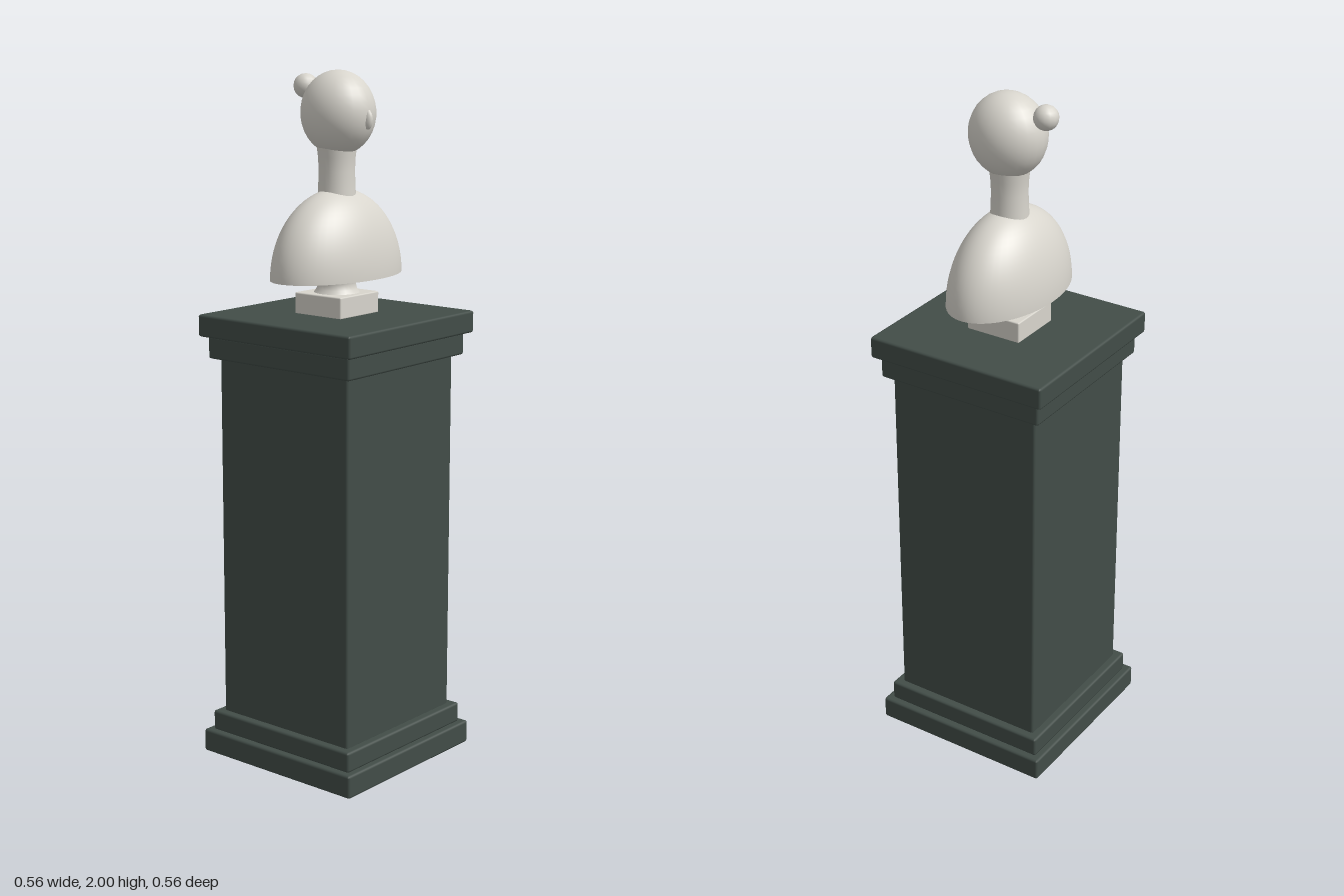
import * as THREE from 'three';
import { RoundedBoxGeometry } from 'three/addons/geometries/RoundedBoxGeometry.js';

export function createModel() {
  const model = new THREE.Group();
  model.name = 'bustOnPedestal';
  const stone = new THREE.MeshStandardMaterial({ color: 0xd8d5cd });
  stone.name = 'paleStone';
  const green = new THREE.MeshStandardMaterial({ color: 0x424d48 });
  green.name = 'darkGreenStone';

  const add = (parent, name, geometry, material, x = 0, y = 0, z = 0) => {
    const mesh = new THREE.Mesh(geometry, material);
    mesh.name = name;
    mesh.position.set(x, y, z);
    parent.add(mesh);
    return mesh;
  };

  // Square block with softened edges, from y0 to y1
  const block = (parent, name, half, y0, y1, material, bevel) =>
    add(parent, name, new RoundedBoxGeometry(half * 2, y1 - y0, half * 2, 1, bevel),
      material, 0, (y0 + y1) / 2, 0);

  const ellipsoid = (parent, name, rx, ry, rz, y, z, segments) =>
    add(parent, name, new THREE.SphereGeometry(1, segments, Math.round(segments * 0.7)).scale(rx, ry, rz),
      stone, 0, y, z);

  const turned = (parent, name, points) =>
    add(parent, name, new THREE.LatheGeometry(points.map(([r, y]) => new THREE.Vector2(r, y)), 28), stone);

  // Pedestal: stepped plinth, shaft and cap
  const pedestal = new THREE.Group();
  pedestal.name = 'pedestal';
  model.add(pedestal);
  [
    ['plinth', 0.28, 0, 0.068],
    ['plinthStep', 0.26, 0.066, 0.126],
    ['shaft', 0.236, 0.12, 1.196],
    ['capStep', 0.26, 1.19, 1.256],
    ['capSlab', 0.28, 1.254, 1.318],
  ].forEach(([name, half, y0, y1]) => block(pedestal, name, half, y0, y1, green, 0.007));

  // Bust support: square foot and waisted stem
  const bust = new THREE.Group();
  bust.name = 'bust';
  model.add(bust);
  block(bust, 'foot', 0.085, 1.316, 1.378, stone, 0.004);
  turned(bust, 'stem', [[0.067, 1.376], [0.058, 1.388], [0.054, 1.402], [0.057, 1.415], [0.064, 1.428]]);

  // Shoulders: oval half dome closed underneath
  const dome = new THREE.SphereGeometry(1, 48, 18, 0, Math.PI * 2, 0, Math.PI / 2);
  add(bust, 'shoulders', dome.scale(0.237, 0.247, 0.141), stone, 0, 1.425, 0);
  const underside = new THREE.CircleGeometry(1, 48).rotateX(Math.PI / 2);
  add(bust, 'shoulderUnderside', underside.scale(0.237, 1, 0.141), stone, 0, 1.425, 0);

  // Slightly waisted neck
  turned(bust, 'neck', [[0.056, 1.62], [0.053, 1.67], [0.051, 1.72], [0.053, 1.76], [0.058, 1.8]]);

  // Head with nose and hair bun
  ellipsoid(bust, 'head', 0.099, 0.118, 0.112, 1.882, 0.005, 24);
  ellipsoid(bust, 'nose', 0.012, 0.028, 0.015, 1.867, 0.112, 10);
  ellipsoid(bust, 'hairBun', 0.035, 0.035, 0.035, 1.952, -0.114, 14);

  return model;
}
